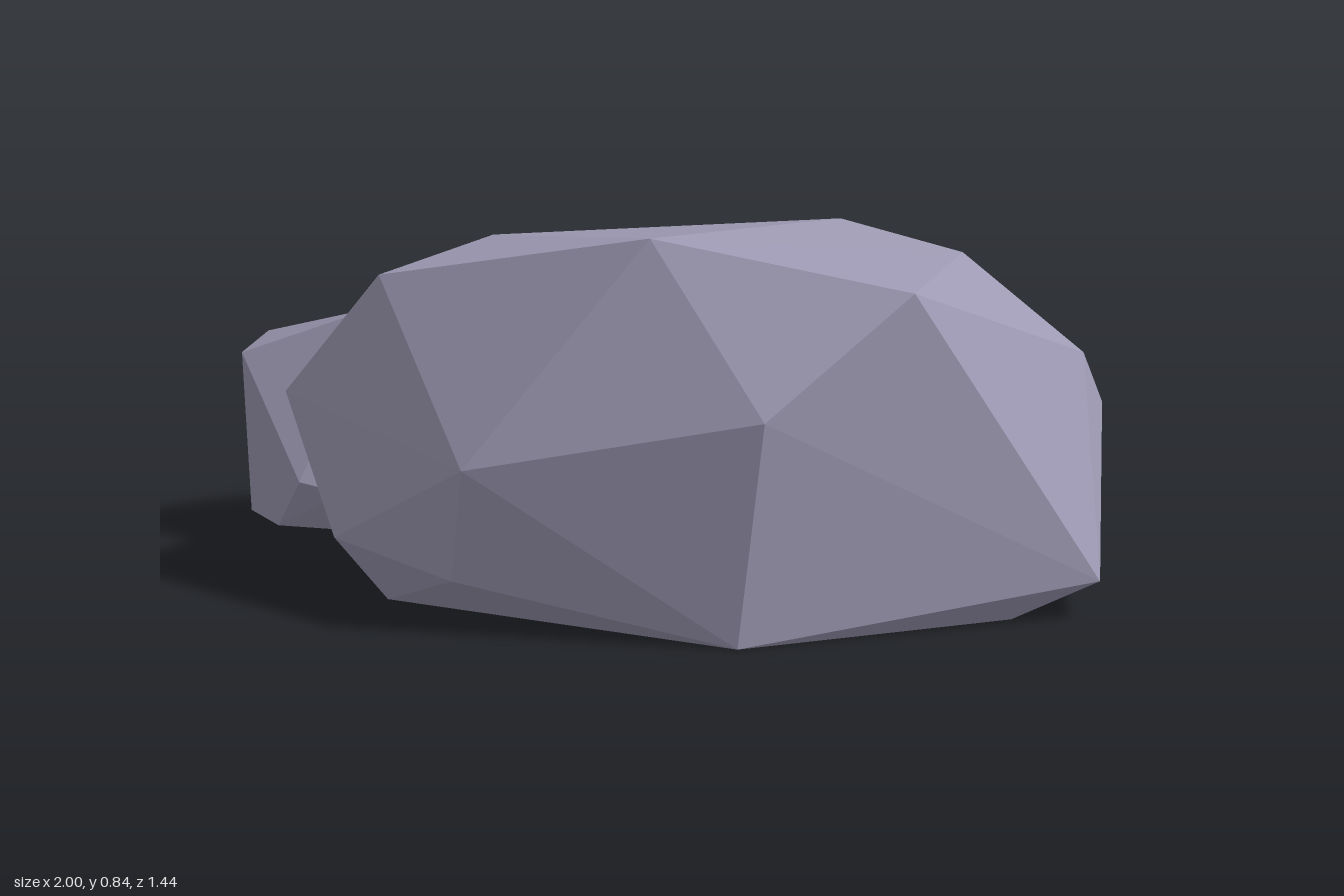
import * as THREE from 'three';
import { ConvexGeometry } from 'three/addons/geometries/ConvexGeometry.js';

// Faceted boulder: the hull around a handful of corner points
function boulder(name, corners, material) {
  const geometry = new ConvexGeometry(corners.map((c) => new THREE.Vector3(...c)));
  const mesh = new THREE.Mesh(geometry, material);
  mesh.name = name;
  return mesh;
}

export function createModel() {
  const group = new THREE.Group();
  group.name = 'rocks';
  const stone = new THREE.MeshStandardMaterial({ color: 0x9e9ab4 });
  stone.name = 'lavender grey stone';
  stone.flatShading = true;

  group.add(boulder('largeRock', [
    // crown
    [0.16, 0.84, 0.5], [0.71, 0.74, 0.37], [0.6, 0.713, -0.165],
    [0.3, 0.75, -0.22], [-0.49, 0.65, -0.22], [-0.52, 0.675, 0.345],
    // girth
    [-0.77, 0.385, 0.25], [-0.18, 0.355, 0.72], [0.47, 0.49, 0.62],
    [1, 0.08, 0.05], [0.84, 0.5, -0.25], [0.87, 0.39, -0.28],
    [0.81, 0.11, -0.4], [0.26, 0.49, -0.72],
    [-0.31, 0.16, -0.65], [-0.51, 0.29, -0.54], [-0.565, 0.25, -0.37],
    [-0.68, 0.2, -0.02], [-0.57, 0.13, 0.47], [-0.22, 0.105, 0.675],
    // foot
    [0.41, 0, 0.625], [0.83, 0, 0.13], [0.49, 0, -0.46],
    [-0.16, 0, -0.5], [-0.5, 0, -0.25], [-0.59, 0, -0.03], [-0.46, 0, 0.44],
  ], stone));

  group.add(boulder('smallRock', [
    // sloping top
    [-0.71, 0.5, -0.09], [-0.96, 0.425, -0.12], [-1, 0.385, -0.07],
    [-0.98, 0.216, -0.37], [-0.65, 0.17, -0.53], [-0.46, 0.19, -0.57],
    // sides
    [-0.53, 0.11, -0.63], [-0.8, 0.155, 0.1], [-0.7, 0.14, 0.1],
    // foot
    [-0.785, 0.04, -0.53], [-0.98, 0.04, -0.3], [-0.99, 0.04, -0.1],
    [-0.88, 0.04, 0.02], [-0.58, 0.04, 0], [-0.48, 0.04, -0.5],
    // corner buried in the large rock
    [-0.5, 0.42, -0.1],
  ], stone));

  return group;
}
